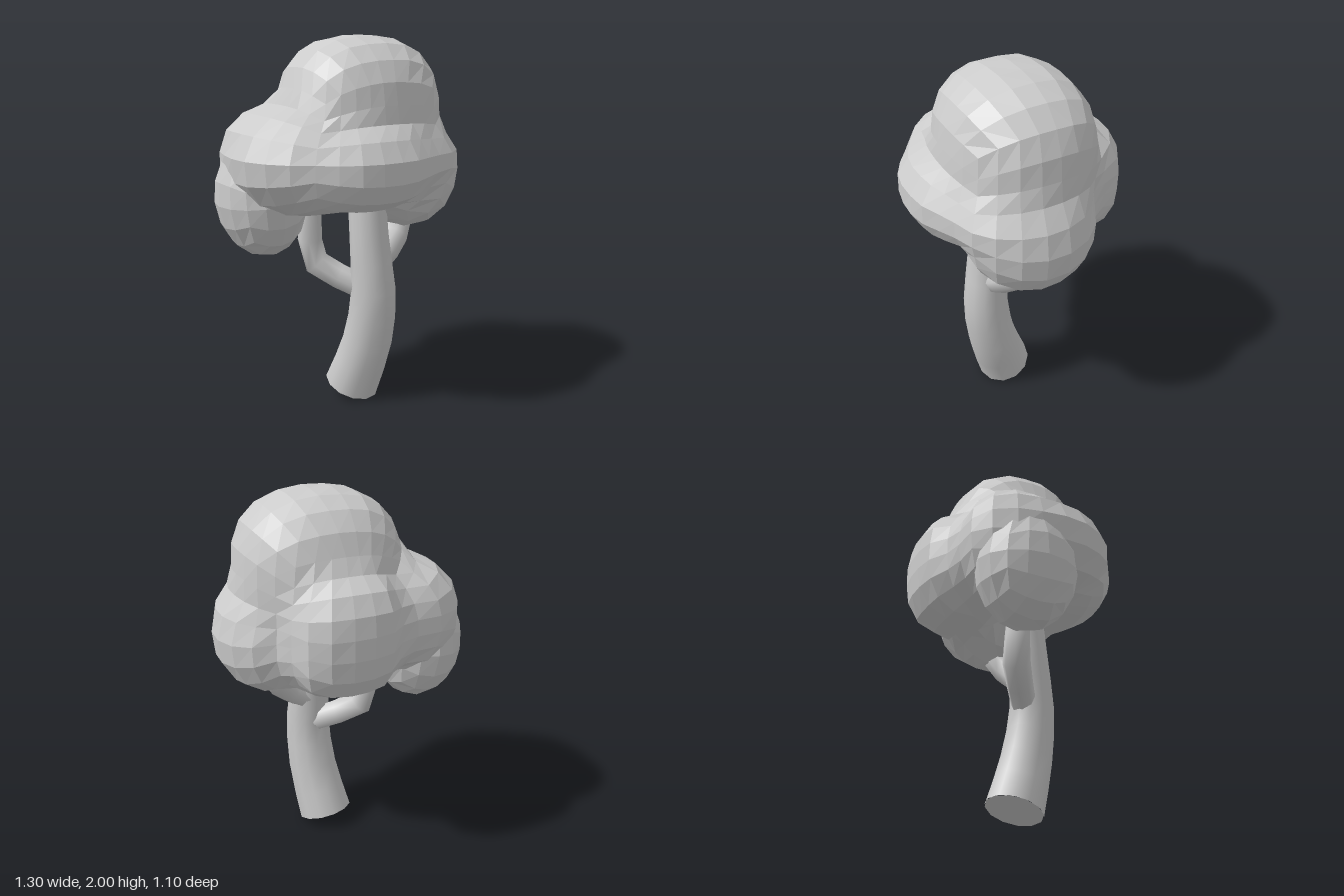
import * as THREE from 'three';
import { mergeVertices } from 'three/addons/utils/BufferGeometryUtils.js';

const grey = (options = {}) => new THREE.MeshStandardMaterial({ color: 0xcccccc, ...options });

// Foliage lobes: centre, radii, boxiness (2 is a plain ellipsoid)
const lobes = [
  [[0.10, 1.59, 0.02], [0.43, 0.41, 0.37], 2.5],   // top
  [[-0.29, 1.36, 0.03], [0.35, 0.28, 0.38], 2],    // left
  [[0.36, 1.25, 0.06], [0.29, 0.30, 0.33], 2.1],   // right
  [[0.30, 1.37, 0.20], [0.25, 0.16, 0.24], 2.2],   // front right
  [[-0.03, 1.34, 0.26], [0.36, 0.22, 0.295], 2.3], // front
  [[0.09, 1.34, -0.28], [0.29, 0.32, 0.27], 2.8],  // back
  [[-0.32, 1.34, -0.18], [0.28, 0.30, 0.25], 2.2], // back left
].map(([c, r, power]) => ({ c: new THREE.Vector3(...c), r: new THREE.Vector3(...r), power }));

// Softly blended distance to the lobes
function field(p) {
  const softness = 0.025;
  let sum = 0;
  for (const { c, r, power } of lobes) {
    const q = p.clone().sub(c).divide(r);
    const norm = q.toArray().reduce((s, a) => s + Math.abs(a) ** power, 0) ** (1 / power);
    sum += Math.exp(-(norm - 1) * Math.min(r.x, r.y, r.z) / softness);
  }
  return -Math.log(sum) * softness;
}

// Sphere made of quads, so the facets stay even
function quadSphere(n) {
  let g = new THREE.BoxGeometry(2, 2, 2, n, n, n);
  g.deleteAttribute('uv');
  g.deleteAttribute('normal');
  g = mergeVertices(g);
  const p = g.attributes.position, v = new THREE.Vector3();
  for (let i = 0; i < p.count; i++) {
    v.fromBufferAttribute(p, i);
    v.set(Math.tan(v.x * Math.PI / 4), Math.tan(v.y * Math.PI / 4), Math.tan(v.z * Math.PI / 4)).normalize();
    p.setXYZ(i, v.x, v.y, v.z);
  }
  return g;
}

// Shrink-wraps a quad sphere on to the blended lobes
function crownGeometry() {
  const g = quadSphere(8), p = g.attributes.position;
  const centre = new THREE.Vector3(0.02, 1.4, 0), dir = new THREE.Vector3();
  for (let i = 0; i < p.count; i++) {
    dir.fromBufferAttribute(p, i);
    let t = 1.1;
    const at = () => centre.clone().addScaledVector(dir, t);
    while (t > 0.1 && field(at()) > 0) t -= 0.004;
    const q = at();
    p.setXYZ(i, q.x, q.y, q.z);
  }
  g.computeVertexNormals();
  return g;
}

// Tapered tube through points [x, y, z, radius]
function limb(name, points, segments, sides) {
  const curve = new THREE.CatmullRomCurve3(points.map(([x, y, z]) => new THREE.Vector3(x, y, z)));
  const g = new THREE.TubeGeometry(curve, segments, 1, sides, false);
  const p = g.attributes.position, v = new THREE.Vector3();
  for (let i = 0; i <= segments; i++) {
    const u = i / segments, c = curve.getPointAt(u);
    const s = curve.getUtoTmapping(u) * (points.length - 1);
    const k = Math.min(Math.floor(s), points.length - 2);
    const r = THREE.MathUtils.lerp(points[k][3], points[k + 1][3], s - k);
    for (let j = 0; j <= sides; j++) {
      const n = i * (sides + 1) + j;
      v.fromBufferAttribute(p, n).sub(c).multiplyScalar(r).add(c);
      p.setXYZ(n, v.x, v.y, v.z);
    }
  }
  const mesh = new THREE.Mesh(g, grey());
  mesh.name = name;
  return { mesh, curve };
}

export function createModel() {
  const tree = new THREE.Group();
  tree.name = 'tree';

  // Leaning trunk and its cut end
  const trunk = limb('trunk', [
    [0.05, 0.05, 0.05, 0.155], [0.09, 0.32, 0.14, 0.14], [0.10, 0.60, 0.185, 0.125],
    [0.085, 0.90, 0.165, 0.107], [0.08, 1.25, 0.13, 0.10],
  ], 8, 12);
  const base = new THREE.Mesh(new THREE.CircleGeometry(0.155, 12), grey());
  base.name = 'trunkBase';
  base.position.copy(trunk.curve.getPoint(0));
  base.lookAt(base.position.clone().sub(trunk.curve.getTangent(0)));
  tree.add(trunk.mesh, base);

  // Bent branches
  tree.add(limb('rightBranch', [
    [0.07, 0.64, 0.12, 0.07], [-0.145, 0.79, -0.035, 0.075],
    [-0.17, 0.95, -0.04, 0.065], [-0.165, 1.2, -0.02, 0.055],
  ], 5, 8).mesh);
  tree.add(limb('leftBranch', [
    [0.12, 0.79, 0.15, 0.08], [0.23, 0.865, 0.14, 0.08],
    [0.32, 0.96, 0.09, 0.075], [0.37, 1.18, 0.05, 0.065],
  ], 5, 8).mesh);

  // Crown
  const crown = new THREE.Mesh(crownGeometry(), grey({ flatShading: true }));
  crown.name = 'crown';
  tree.add(crown);

  // Hanging clump beneath the crown
  const clump = new THREE.Mesh(quadSphere(4), grey({ flatShading: true }));
  clump.name = 'hangingClump';
  clump.position.set(-0.42, 1.16, -0.12);
  clump.scale.set(0.24, 0.32, 0.27);
  clump.rotation.z = 0.1;
  tree.add(clump);

  return tree;
}
